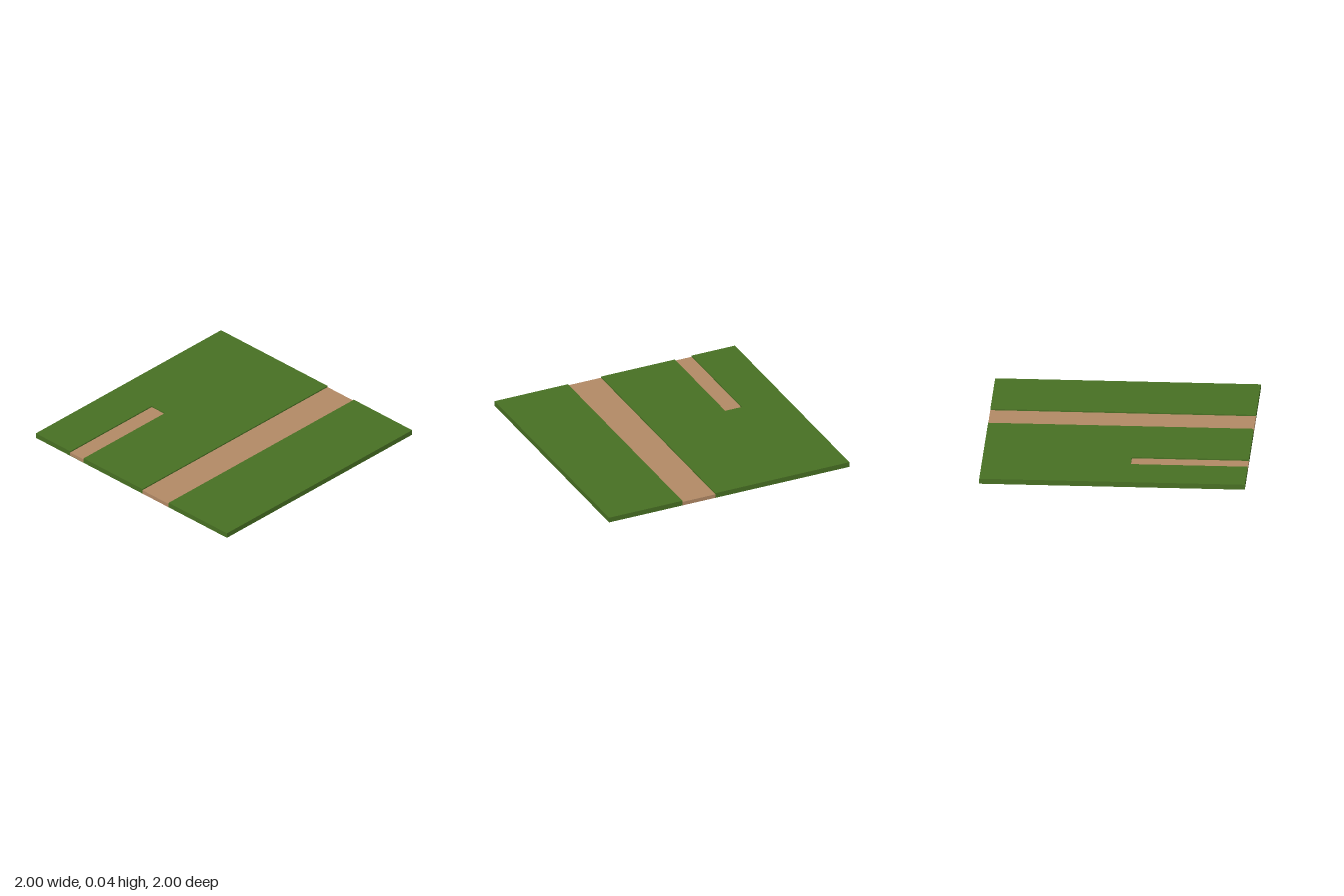
import * as THREE from 'three';

export function createModel() {
  const grass = new THREE.MeshStandardMaterial({ color: 0x487023 });
  grass.name = 'grass green';
  const dirt = new THREE.MeshStandardMaterial({ color: 0xb38a66 });
  dirt.name = 'dirt tan';

  const group = new THREE.Group();
  group.name = 'groundTile';

  const GRASS_TOP = 0.04, DIRT_TOP = 0.03;
  const ROAD = [0.115, 0.39];   // z range of the wide path
  const TRACK = [-0.64, -0.5];  // z range of the short path
  const TRACK_END = -0.12;      // x where the short path stops

  function add(name, geometry, material) {
    const mesh = new THREE.Mesh(geometry, material);
    mesh.name = name;
    group.add(mesh);
  }

  // Box given by its x, y and z ranges
  function slab(name, [x0, x1], [y0, y1], [z0, z1], material) {
    const geometry = new THREE.BoxGeometry(x1 - x0, y1 - y0, z1 - z0);
    geometry.translate((x0 + x1) / 2, (y0 + y1) / 2, (z0 + z1) / 2);
    add(name, geometry, material);
  }

  // Rear lawn: outline with a notch for the short path (shape y is -z)
  const outline = new THREE.Shape([
    [-1, -ROAD[0]], [1, -ROAD[0]], [1, 1], [-1, 1],
    [-1, -TRACK[0]], [TRACK_END, -TRACK[0]], [TRACK_END, -TRACK[1]], [-1, -TRACK[1]],
  ].map(([x, y]) => new THREE.Vector2(x, y)));
  const lawn = new THREE.ExtrudeGeometry(outline, { depth: GRASS_TOP, bevelEnabled: false });
  lawn.rotateX(-Math.PI / 2);
  add('rearLawn', lawn, grass);

  // Front lawn and the two sunken paths
  slab('frontLawn', [-1, 1], [0, GRASS_TOP], [ROAD[1], 1], grass);
  slab('widePath', [-1, 1], [0, DIRT_TOP], ROAD, dirt);
  slab('shortPath', [-1, TRACK_END], [0.002, DIRT_TOP], TRACK, dirt);

  // Thin grass-coloured underside below the short path
  slab('shortPathBase', [-1, TRACK_END], [0, 0.002], TRACK, grass);

  return group;
}
